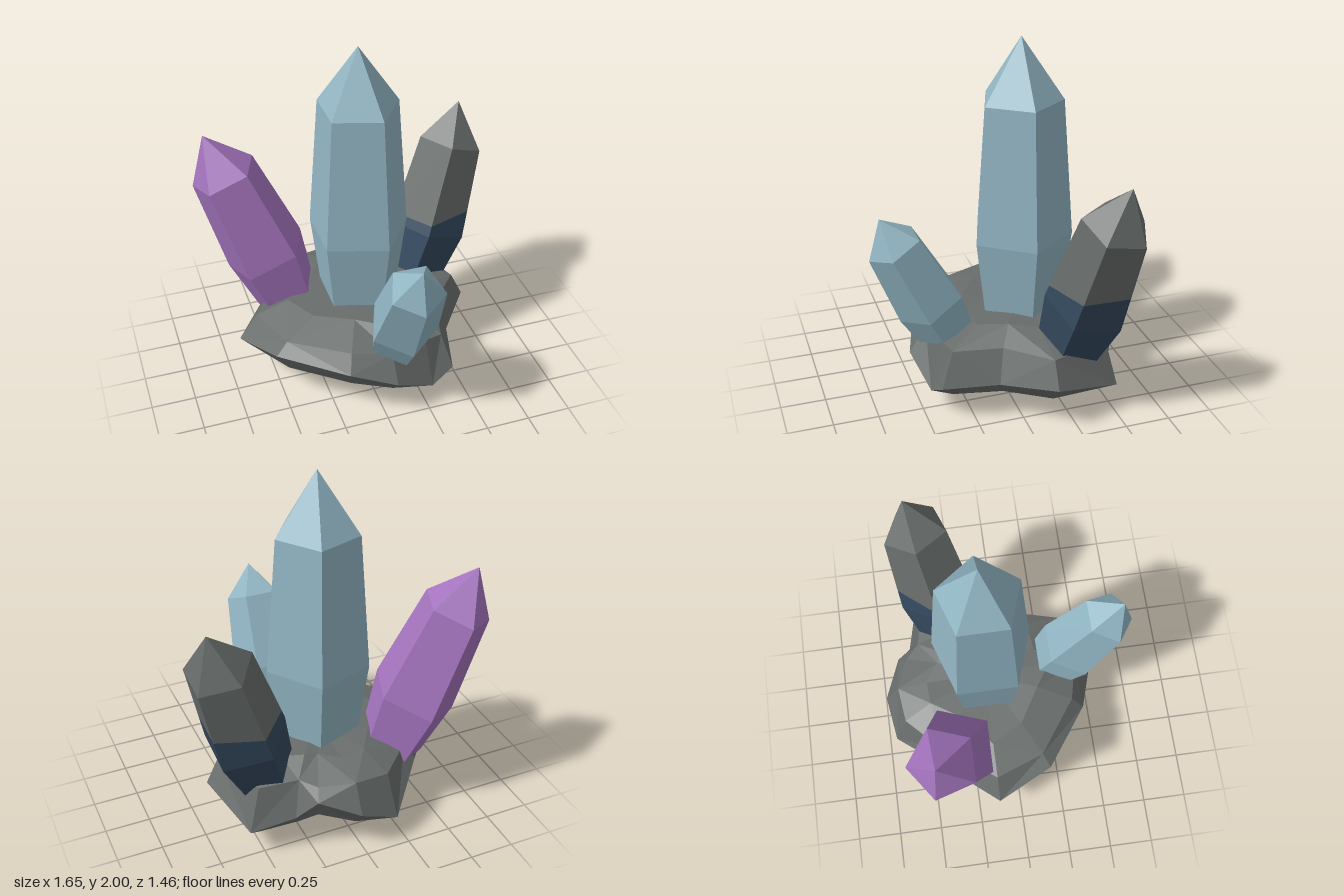
import * as THREE from 'three';

const V = (x, y, z) => new THREE.Vector3(x, y, z);

const material = (name, color) => {
  const m = new THREE.MeshStandardMaterial({ color });
  m.name = name;
  return m;
};

// Flat-faceted skin over a stack of rings from bottom to top; a ring of one point is a pole
function skin(rings, flip = () => false) {
  const out = [];
  const tri = (...pts) => {
    if (pts[0] !== pts[1] && pts[1] !== pts[2] && pts[2] !== pts[0]) {
      pts.forEach((p) => out.push(p.x, p.y, p.z));
    }
  };
  for (let i = 0; i < rings.length - 1; i++) {
    const lo = rings[i], hi = rings[i + 1];
    const n = Math.max(lo.length, hi.length);
    for (let j = 0; j < n; j++) {
      const a = lo[j % lo.length], b = lo[(j + 1) % lo.length];
      const c = hi[j % hi.length], d = hi[(j + 1) % hi.length];
      if (flip(i, j)) {
        tri(a, c, d);
        tri(a, d, b);
      } else {
        tri(a, c, b);
        tri(b, c, d);
      }
    }
  }
  const g = new THREE.BufferGeometry();
  g.setAttribute('position', new THREE.Float32BufferAttribute(out, 3));
  g.computeVertexNormals();
  return g;
}

// Crystal rings: each [x, y, z, radius] is a pentagon square to the axis
function crystalRings(axis, start, sections) {
  const q = new THREE.Quaternion().setFromUnitVectors(V(0, 1, 0), axis.clone().normalize());
  return sections.map(([x, y, z, r]) => [0, 1, 2, 3, 4].map((i) => {
    const t = THREE.MathUtils.degToRad(start + i * 72);
    return V(Math.cos(t) * r, 0, Math.sin(t) * r).applyQuaternion(q).add(V(x, y, z));
  }));
}

export function createModel() {
  const group = new THREE.Group();
  group.name = 'crystalCluster';

  const stone = material('stoneGrey', 0x686d6b);
  const blue = material('paleBlue', 0x92b6c4);
  const purple = material('purple', 0xa575bf);
  const navy = material('navy', 0x34495e);

  const add = (name, geometry, mat) => {
    mat.flatShading = true;
    const mesh = new THREE.Mesh(geometry, mat);
    mesh.name = name;
    group.add(mesh);
  };

  // Rock base: widest outline, then scaled rings above and below it
  const outline = [
    [0.69, 0.26, -0.13], [0.49, 0.23, 0.13], [0.41, 0.21, 0.43], [0.28, 0.13, 0.46],
    [0.05, 0.25, 0.52], [-0.2, 0.32, 0.44], [-0.55, 0.35, 0.19], [-0.69, 0.26, -0.13],
    [-0.42, 0.32, -0.47], [-0.2, 0.15, -0.7], [0.03, 0.26, -0.73], [0.24, 0.34, -0.63],
    [0.34, 0.22, -0.56], [0.58, 0.16, -0.51],
  ];
  const cx = 0.03, cz = -0.13;
  const rockRing = (scale, height, wobble) => outline.map(([x, y, z], j) => {
    const s = scale + wobble * Math.sin(j * 2.3 + scale * 9);
    return V(cx + (x - cx) * s, height(y, j), cz + (z - cz) * s);
  });
  const rock = [
    [V(cx, 0, cz)],
    rockRing(0.54, () => 0.045, 0.02),
    rockRing(0.87, (y) => 0.55 * y + 0.02, 0),
    rockRing(1, (y) => y, 0),
    rockRing(0.87, (y, j) => 0.41 + 0.01 * Math.sin(j * 2.7), 0.02),
    rockRing(0.56, (y, j) => 0.475 + 0.01 * Math.sin(j * 1.7), 0.04),
    [V(cx, 0.48, cz)],
  ];
  add('rockBase', skin(rock, (i, j) => (i + j) % 2 === 0), stone);

  // Tall centre crystal
  add('tallCrystal', skin([
    [V(cx, 0.42, cz)],
    ...crystalRings(V(0, 1, 0), 0, [
      [cx, 0.42, cz, 0.23], [cx, 0.89, cz, 0.29], [cx, 1.66, cz, 0.23]]),
    [V(cx, 2, cz)],
  ]), blue);

  // Small front crystal, leaning forward
  add('smallCrystal', skin([
    [V(0.11, 0.42, 0.325)],
    ...crystalRings(V(0, 0.893, 0.45), 90, [
      [0.11, 0.42, 0.325, 0.17], [0.11, 0.577, 0.403, 0.195], [0.11, 0.95, 0.592, 0.157]]),
    [V(0.11, 1.115, 0.67)],
  ]), blue);

  // Purple crystal, leaning to the side and back
  add('purpleCrystal', skin([
    [V(-0.35, 0.36, -0.31)],
    ...crystalRings(V(-0.39, 1, -0.15), -16, [
      [-0.35, 0.36, -0.31, 0.19], [-0.455, 0.67, -0.35, 0.245], [-0.655, 1.2, -0.415, 0.195]]),
    [V(-0.75, 1.445, -0.45)],
  ]), purple);

  // Two-tone crystal, divided by a level cut
  const [foot, waist, shoulder] = crystalRings(V(0.35, 1, -0.19), 37, [
    [0.415, 0.37, -0.29, 0.18], [0.525, 0.66, -0.335, 0.23], [0.683, 1.17, -0.414, 0.187]]);
  const cut = waist.map((p, j) => {
    const top = shoulder[j];
    return p.clone().lerp(top, (0.785 - p.y) / (top.y - p.y));
  });
  add('twoToneCrystalBottom', skin([[V(0.415, 0.37, -0.29)], foot, waist, cut]), navy);
  add('twoToneCrystalTop', skin([cut, shoulder, [V(0.75, 1.4, -0.46)]]), stone);

  return group;
}
